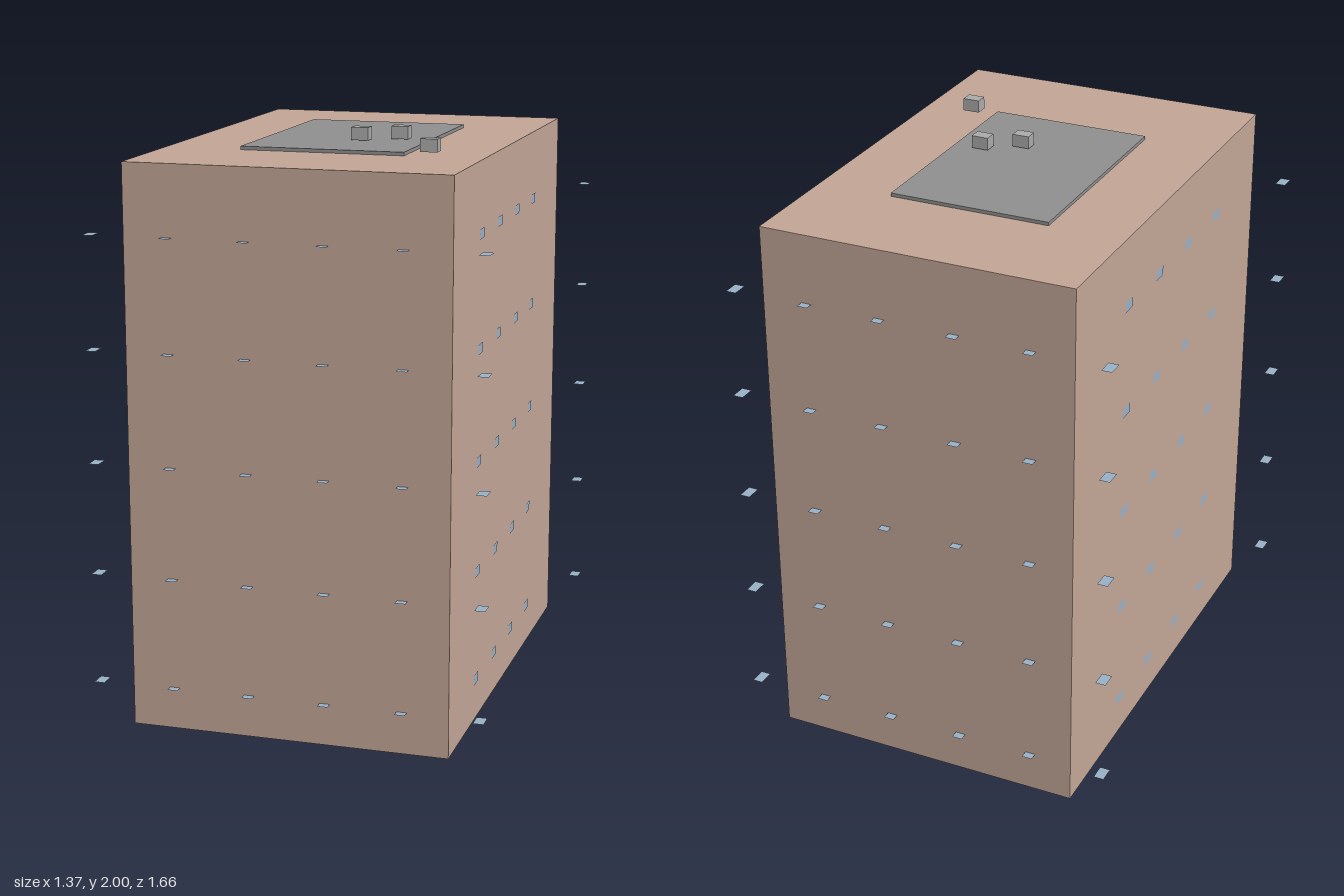
import * as THREE from 'three';

const mat = (color, side = THREE.FrontSide) => new THREE.MeshStandardMaterial({ color, side });

export function createModel() {
  const model = new THREE.Group();
  const brick = mat(0xc4a798);
  const roofGrey = mat(0x909090);
  const baseGrey = mat(0xcac8b2);
  const unitGrey = mat(0xacacac);
  const glass = mat(0x9ab2c8, THREE.DoubleSide);

  function add(name, geometry, material, x, y, z, parent = model) {
    const mesh = new THREE.Mesh(geometry, material);
    mesh.name = name;
    mesh.position.set(x, y, z);
    parent.add(mesh);
    return mesh;
  }

  // Main block with its base and roof slabs
  const cx = 0.005;
  add('buildingBlock', new THREE.BoxGeometry(1.108, 1.934, 1.606), brick, cx, 0.974, 0);
  add('baseSlab', new THREE.BoxGeometry(0.57, 0.02, 0.82), baseGrey, cx, 0.01, 0);
  add('roofSlab', new THREE.BoxGeometry(0.57, 0.02, 0.82), roofGrey, cx, 1.943, 0);

  // Rooftop units
  const unit = new THREE.BoxGeometry(0.06, 0.044, 0.046);
  [[0.067, 0.147], [0.189, 0.076], [0.373, 0.386]].forEach(([x, z], i) =>
    add(`rooftopUnit${i + 1}`, unit, unitGrey, x, 1.978, z));

  // Window panes: flat ledges at front and back, upright panes on the sides
  const ledge = new THREE.PlaneGeometry(0.036, 0.058).rotateX(-Math.PI / 2);
  const pane = new THREE.PlaneGeometry(0.058, 0.034).rotateY(Math.PI / 2);
  const windows = new THREE.Group();
  windows.name = 'windows';
  model.add(windows);

  for (let row = 0; row < 5; row++) {
    const y = 0.153 + row * 0.3865;
    for (const side of [1, -1]) {
      for (let col = 0; col < 6; col++) {
        add(side > 0 ? 'frontWindow' : 'backWindow', ledge, glass,
          -0.665 + col * 0.266, y, side * 0.803, windows);
      }
      for (let col = 0; col < 4; col++) {
        const p = add(side > 0 ? 'leftWindow' : 'rightWindow', pane, glass,
          cx + side * 0.5555, y, 0.423 - col * 0.266, windows);
        if (side < 0) p.rotation.y = Math.PI;
      }
    }
  }
  return model;
}
